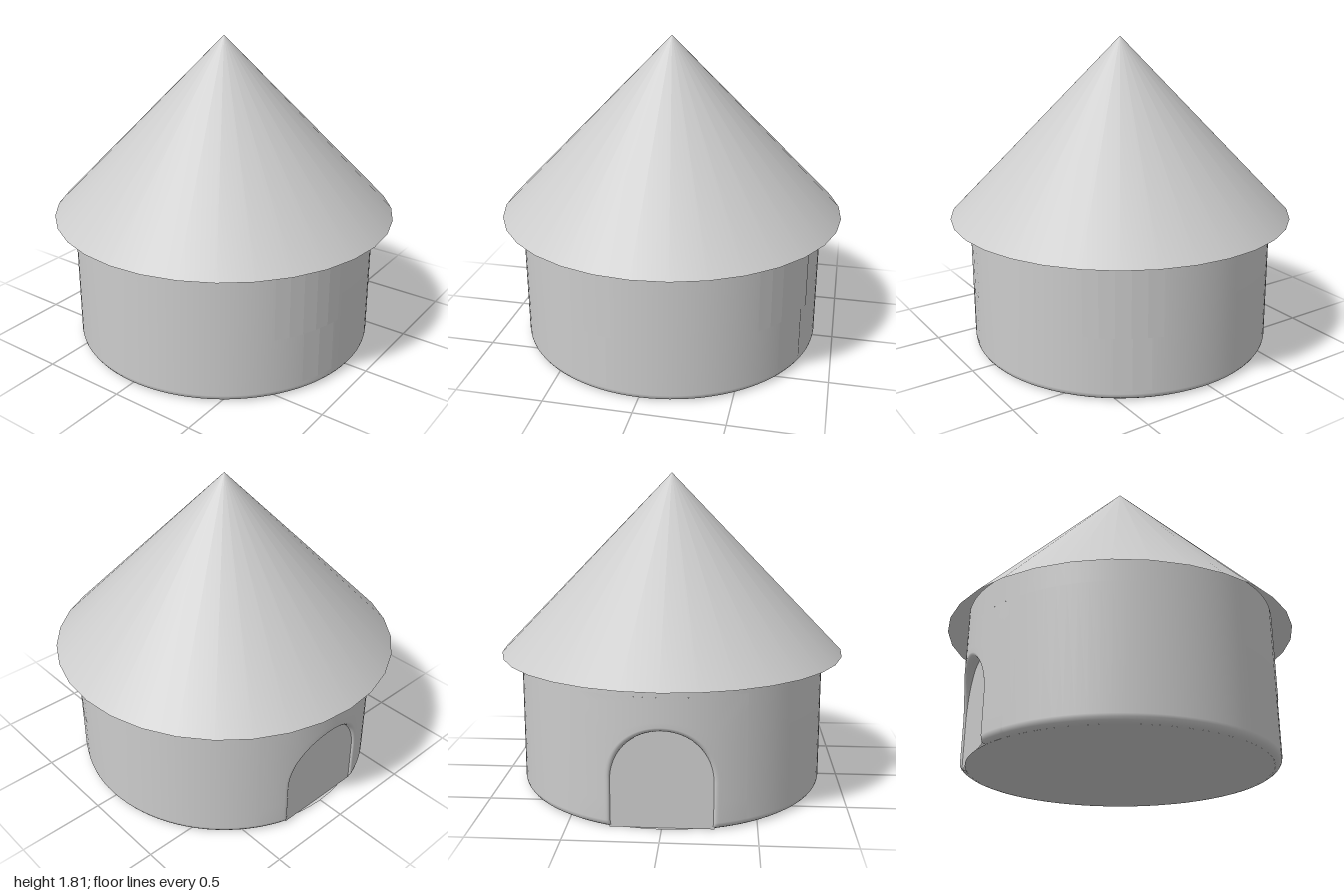
import * as THREE from 'three';

const R = 0.885;            // wall radius
const BEVEL = 0.04;         // rounded foot of the wall
const EAVE = 0.78;
const WALL_TOP = 0.88;      // hidden under the roof
const HALF = Math.PI / 6;   // half angle of the wall sector holding the doorway
const ARCH_Y = 0.26;        // springing height of the arch
const BOX = HALF * R;       // half width of that sector along the wall
const DOOR = { r: 0.275, z: -0.825, lip: 0.03 };

const radiusAt = (y) => {
  const k = Math.max(0, 1 - y / BEVEL);
  return R - BEVEL + BEVEL * Math.sqrt(Math.max(0, 1 - k * k));
};

// Point on the wall, u measured along the circumference from the back centre
const onWall = (u, y) => {
  const r = radiusAt(y);
  return new THREE.Vector3(r * Math.sin(u / R), y, -r * Math.cos(u / R));
};

// Stations around the doorway: up one jamb, over the arch, down the other
function doorStations() {
  const feet = [0, 0.003, 0.012, 0.025, 0.04, 0.15];
  const jamb = (side) => feet.map((y) => ({ dx: side, dy: 0, y, scale: 1 }));
  const list = jamb(1);
  for (let i = 0; i <= 32; i++) {
    const a = (i / 32) * Math.PI;
    const dx = Math.cos(a), dy = Math.sin(a);
    list.push({ dx, dy, y: ARCH_Y, scale: 1 / Math.max(Math.abs(dx), dy) });
  }
  return list.concat(jamb(-1).reverse());
}

// Wall around the doorway: rounded lip first, then out to a square border
function doorSurround() {
  const stations = doorStations();
  const n = stations.length, lipSteps = 6, outSteps = 6;
  const pos = [], index = [];
  for (let i = 0; i <= lipSteps + outSteps; i++) {
    for (const s of stations) {
      let p;
      if (i <= lipSteps) {
        const a = (i / lipSteps) * Math.PI / 2;
        const rho = DOOR.r + DOOR.lip * (1 - Math.cos(a));
        p = onWall(s.dx * rho, s.y + s.dy * rho);
        p.z = THREE.MathUtils.lerp(Math.max(p.z, DOOR.z), p.z, Math.sin(a));
      } else {
        const rho = THREE.MathUtils.lerp(DOOR.r + DOOR.lip, BOX * s.scale, (i - lipSteps) / outSteps);
        p = onWall(s.dx * rho, s.y + s.dy * rho);
      }
      pos.push(p.x, p.y, p.z);
    }
  }
  for (let i = 0; i < lipSteps + outSteps; i++) {
    for (let j = 0; j < n - 1; j++) {
      const a = i * n + j, c = a + n;
      index.push(a, a + 1, c, a + 1, c + 1, c);
    }
  }
  const geo = new THREE.BufferGeometry();
  geo.setAttribute('position', new THREE.Float32BufferAttribute(pos, 3));
  geo.setIndex(index);
  geo.computeVertexNormals();
  return geo;
}

export function createModel() {
  const model = new THREE.Group();
  const smooth = new THREE.MeshStandardMaterial({ color: 0xcccccc, side: THREE.DoubleSide });
  const faceted = new THREE.MeshStandardMaterial({ color: 0xcccccc, side: THREE.DoubleSide, flatShading: true });
  const add = (name, geo, mat = smooth) => {
    const mesh = new THREE.Mesh(geo, mat);
    mesh.name = name;
    model.add(mesh);
    return mesh;
  };

  // Conical roof, hollow below
  const roofHeight = 1.03;
  add('roof', new THREE.ConeGeometry(1, roofHeight, 32, 1, true)).position.y = EAVE + roofHeight / 2;

  // Round wall: everything but the doorway sector, then a full ring above it
  const sectorTop = ARCH_Y + BOX;
  const profile = [0, 0.003, 0.012, 0.025, 0.04, sectorTop].map((y) => new THREE.Vector2(radiusAt(y), y));
  add('wall', new THREE.LatheGeometry(profile, 80, Math.PI + HALF, 2 * (Math.PI - HALF)));
  const ring = [sectorTop, WALL_TOP].map((y) => new THREE.Vector2(R, y));
  add('upperWall', new THREE.LatheGeometry(ring, 96, Math.PI));
  add('doorSurround', doorSurround());

  // Flat arched door set into the back of the wall
  const arch = new THREE.Shape();
  arch.moveTo(-DOOR.r, 0);
  arch.lineTo(DOOR.r, 0);
  arch.lineTo(DOOR.r, ARCH_Y);
  arch.absarc(0, ARCH_Y, DOOR.r, 0, Math.PI, false);
  const door = add('door', new THREE.ShapeGeometry(arch, 32));
  door.rotation.y = Math.PI;
  door.position.z = DOOR.z;

  // Floor
  add('floor', new THREE.CircleGeometry(R - BEVEL, 64)).rotation.x = Math.PI / 2;

  // Faceted window panels, each with a narrower apron below
  const panel = (name, from, to, low, high, sides) => {
    const geo = new THREE.CylinderGeometry(R + 0.003, R + 0.003, high - low, sides, 1, true, from, to - from);
    add(name, geo, faceted).position.y = (low + high) / 2;
  };
  panel('leftWindow', 0.76, 1.24, 0.36, 0.86, 5);
  panel('leftApron', 0.94, 1.17, 0.06, 0.36, 2);
  panel('frontWindow', -0.64, -0.16, 0.36, 0.86, 5);
  panel('frontApron', -0.44, -0.2, 0.06, 0.36, 2);

  return model;
}
